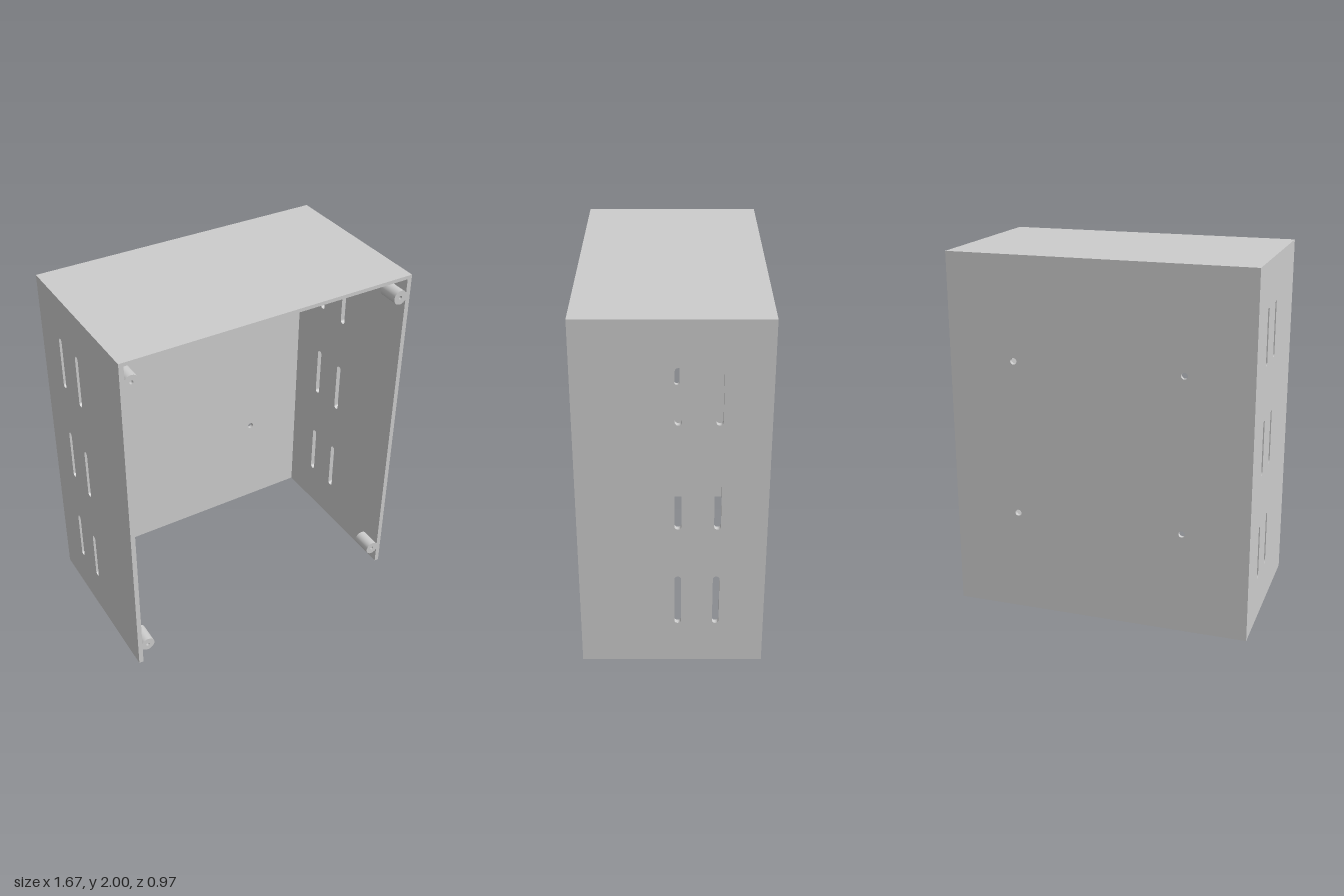
import * as THREE from 'three';

const W = 0.833, H = 2, D = 0.484; // half width, height, half depth
const SIDE = 0.026, WALL = 0.02;   // side thickness, top and back thickness

const material = new THREE.MeshStandardMaterial({ color: 0xcccccc });

function add(parent, name, geometry) {
  const mesh = new THREE.Mesh(geometry, material);
  mesh.name = name;
  parent.add(mesh);
  return mesh;
}

function rectangle(x0, y0, x1, y1) {
  return new THREE.Shape([[x0, y0], [x1, y0], [x1, y1], [x0, y1]].map(p => new THREE.Vector2(...p)));
}

function circle(x, y, r) {
  return new THREE.Path().absarc(x, y, r, 0, Math.PI * 2, true);
}

// upright slot with rounded ends
function slot(x, y0, y1, r) {
  const path = new THREE.Path();
  path.absarc(x, y1 - r, r, 0, Math.PI, false);
  path.absarc(x, y0 + r, r, Math.PI, Math.PI * 2, false);
  path.closePath();
  return path;
}

function extrude(shape, depth) {
  return new THREE.ExtrudeGeometry(shape, { depth, bevelEnabled: false, curveSegments: 16 });
}

export function createModel() {
  const model = new THREE.Group();
  model.name = 'openEnclosure';

  // side walls with two columns of ventilation slots
  const sideShape = rectangle(-D, 0, D, H);
  for (const x of [0.03, 0.23])
    for (const y of [0.25, 0.85, 1.45]) sideShape.holes.push(slot(x, y, y + 0.305, 0.0175));
  const sideGeometry = extrude(sideShape, SIDE).rotateY(Math.PI / 2);
  add(model, 'leftWall', sideGeometry).position.x = W - SIDE;
  add(model, 'rightWall', sideGeometry).position.x = -W;

  // back wall with four mounting holes
  const inner = W - SIDE;
  const backShape = rectangle(-inner, 0, inner, H);
  for (const x of [-0.467, 0.467])
    for (const y of [0.57, 1.435]) backShape.holes.push(circle(x, y, 0.018));
  add(model, 'backWall', extrude(backShape, WALL)).position.z = -D;

  // top panel; the front and bottom stay open
  add(model, 'topPanel', new THREE.BoxGeometry(2 * inner, WALL, 2 * D - WALL))
    .position.set(0, H - WALL / 2, WALL / 2);

  // corner screw posts with blind holes, flush with the front
  const R = 0.04, LENGTH = 0.117, CAP = 0.015;
  const postProfile = [[0, 0], [R, 0], [R, LENGTH], [0.01, LENGTH], [0.01, CAP], [0, CAP]];
  // separate bands keep the rims sharp
  for (const x of [-0.773, 0.773])
    for (const y of [0.122, 1.882]) {
      const post = new THREE.Group();
      post.name = 'screwPost';
      post.position.set(x, y, D - LENGTH);
      for (let i = 0; i < postProfile.length - 1; i++) {
        const band = postProfile.slice(i, i + 2).map(p => new THREE.Vector2(...p));
        add(post, 'postSurface', new THREE.LatheGeometry(band, 32).rotateX(Math.PI / 2));
      }
      model.add(post);
    }
  return model;
}
